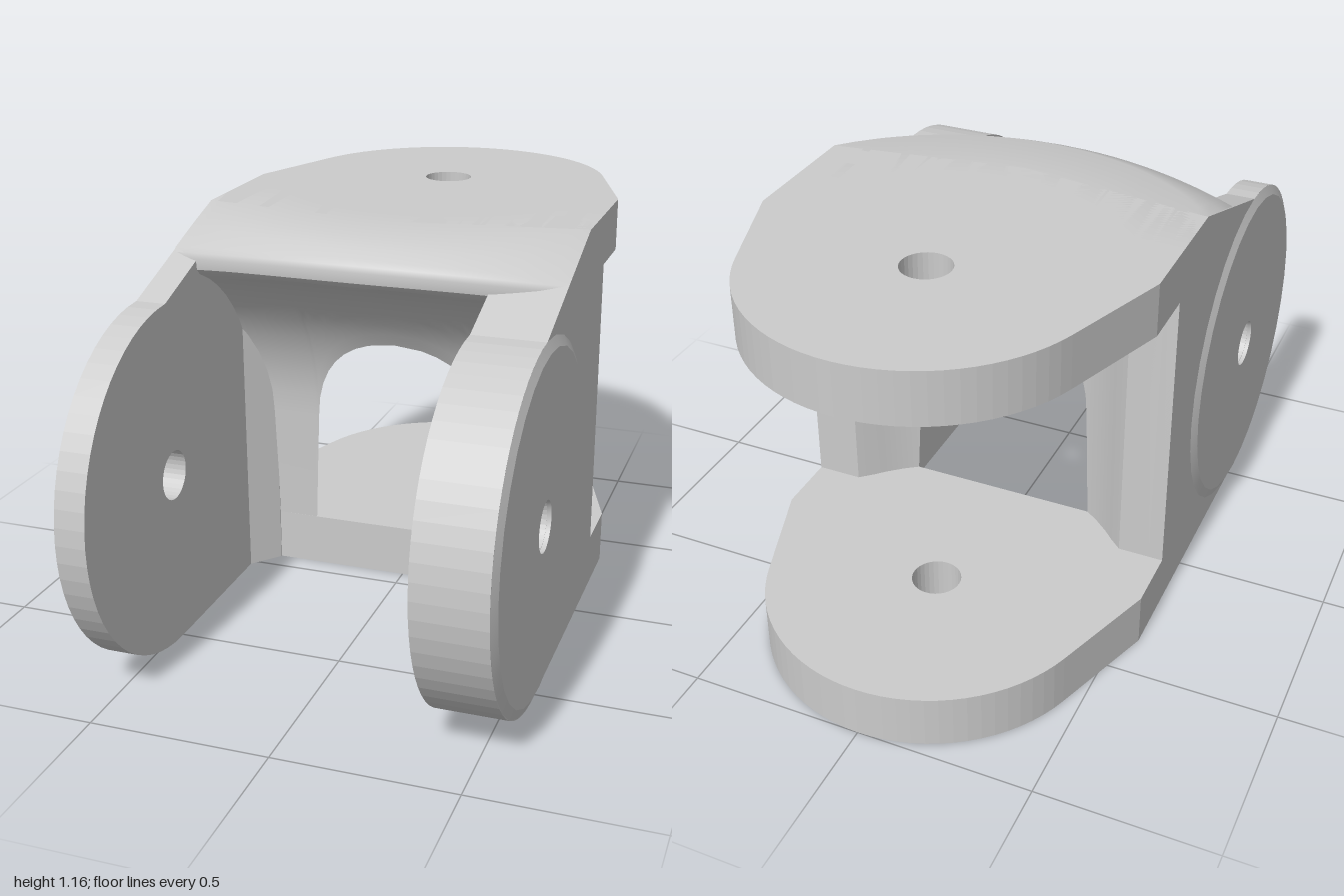
import * as THREE from 'three';
import { toCreasedNormals } from 'three/addons/utils/BufferGeometryUtils.js';

const GREY = new THREE.MeshStandardMaterial({ color: 0xcccccc });
const HOLE = 0.07, TOP = 1.16, SIDE = 0.56;
const LUG = { z: 0.505, y: 0.497, r: 0.495 };      // front pivot
const CLEAR = 0.56, REAR_R = 0.5264, REAR_Z = -0.51; // clearance cylinders

// z of the front clearance surface at height y
const frontZ = (y) => y > 0.5
  ? LUG.z - Math.sqrt(CLEAR ** 2 - (y - 0.5) ** 2)
  : LUG.z - CLEAR - 0.03 * (0.5 - y);
// z of the rear clearance surface at x
const rearZ = (x) => Math.max(-0.19, REAR_Z + Math.sqrt(Math.max(0, REAR_R ** 2 - x * x)));
// half width of the window at height y
const windowX = (y) => Math.sqrt(Math.max(0, REAR_R ** 2 - (frontZ(y) - REAR_Z) ** 2));
// height of the conical slope at the roof front
const coneY = (x, z) => TOP - 0.46 * (Math.hypot(x, z + 0.45) - 0.73);

function add(group, name, geometry) {
  const mesh = new THREE.Mesh(geometry, GREY);
  mesh.name = name;
  group.add(mesh);
  return mesh;
}

function addHole(shape, u, v) {
  const hole = new THREE.Path();
  hole.absarc(u, v, HOLE, 0, Math.PI * 2, true);
  shape.holes.push(hole);
}

// Side wall with round lug, drawn in (-z, y) and extruded along x
function wallGeometry(x0, x1) {
  const s = new THREE.Shape();
  s.moveTo(0.07, 0);
  s.lineTo(0.07, TOP);
  s.lineTo(-0.02, TOP);
  s.lineTo(-LUG.z, LUG.y + LUG.r);
  s.absarc(-LUG.z, LUG.y, LUG.r, Math.PI / 2, Math.PI * 1.5, false);
  addHole(s, -LUG.z, 0.5);
  return new THREE.ExtrudeGeometry(s, { depth: x1 - x0, bevelEnabled: false, curveSegments: 16 })
    .rotateY(Math.PI / 2).translate(x0, 0, 0);
}

// Horizontal rear plate, drawn in (x, -z) and extruded upwards
function plateGeometry(y, thick, frontSide, frontMid) {
  const s = new THREE.Shape();
  const t = -0.33;
  s.moveTo(SIDE, -frontSide);
  s.lineTo(SIDE, 0.37);
  s.absarc(0, 0.52, 0.48, -t, Math.PI + t, false);
  s.lineTo(-SIDE, 0.37);
  s.lineTo(-SIDE, -frontSide);
  s.lineTo(0, -frontMid);
  addHole(s, 0, 0.517);
  return new THREE.ExtrudeGeometry(s, { depth: thick, bevelEnabled: false, curveSegments: 16 })
    .rotateX(-Math.PI / 2).translate(0, y, 0);
}

// Cross-section of web and roof at x, as [z, y] from the rear foot over the top to the front foot
function webSection(x, foot) {
  const zr = rearZ(x);
  const zf = 0.39 - 0.08 * (x / 0.475) ** 2;
  const zc = -0.45 + Math.sqrt(0.73 ** 2 - x * x);
  const under = (z) => 0.5 + Math.sqrt(CLEAR ** 2 - (LUG.z - z) ** 2);
  const pts = [[zr, foot], [zr, TOP], [zc, TOP]];
  for (const k of [0.5, 1]) {
    const z = zc + (zf - 0.02 - zc) * k;
    pts.push([z, coneY(x, z)]);
  }
  // rounded lip
  const a = coneY(x, zf), b = under(zf - 0.02);
  pts.push([zf - 0.006, a - 0.004], [zf, a - 0.02], [zf - 0.004, b + 0.016], [zf - 0.02, b]);
  // concave underside
  const a1 = Math.asin((b - 0.5) / CLEAR);
  const a0 = Math.asin(Math.max(0, foot - 0.5) / CLEAR);
  for (let k = 1; k <= 10; k++) {
    const t = a1 + (a0 - a1) * k / 10;
    pts.push([LUG.z - CLEAR * Math.cos(t), 0.5 + CLEAR * Math.sin(t)]);
  }
  pts.push([frontZ(foot), foot]);
  return pts;
}

// Web and roof lofted across x, its columns following the arched window
function webGeometry() {
  const apex = 0.5 + Math.sqrt(CLEAR ** 2 - (LUG.z - REAR_Z - REAR_R) ** 2);
  const half = [0.56, 0.52, 0.475, 0.45, 0.428, 0.39, 0.365, 0.32].map((x) => [x, 0.15]);
  for (const y of [0.15, 0.3, 0.5, 0.56, 0.61, 0.655, 0.69, 0.72, 0.745, 0.762]) half.push([windowX(y), y]);
  const columns = [
    ...half.map(([x, y]) => [-x, y]),
    [0, apex],
    ...half.slice().reverse(),
  ];
  const position = [], index = [];
  let n = 0;
  columns.forEach(([x, foot], i) => {
    const pts = webSection(x, foot);
    n = pts.length;
    for (const [z, y] of pts) position.push(x, y, z);
    if (i === 0) return;
    for (let j = 0; j < n - 1; j++) {
      const a = (i - 1) * n + j, b = i * n + j;
      index.push(a, a + 1, b + 1, a, b + 1, b);
    }
  });
  const g = new THREE.BufferGeometry();
  g.setAttribute('position', new THREE.Float32BufferAttribute(position, 3));
  g.setIndex(index);
  return toCreasedNormals(g, 0.5);
}

export function createModel() {
  const group = new THREE.Group();
  group.name = 'pivotBracket';

  // Front lugs: the left one is thicker
  add(group, 'leftLug', wallGeometry(0.363, SIDE));
  add(group, 'rightLug', wallGeometry(-SIDE, -0.475));

  // Rear fork plates
  add(group, 'topPlate', plateGeometry(1.01, 0.15, 0.018, 0.1));
  add(group, 'bottomPlate', plateGeometry(0, 0.155, -0.065, -0.065));

  // Web and sloping roof
  add(group, 'webAndRoof', webGeometry());

  for (const side of [1, -1]) {
    const name = side > 0 ? 'left' : 'right';
    // Rear edge of the side wall
    add(group, name + 'RearPost', new THREE.BoxGeometry(0.125, 1, 0.15))
      .position.set(side * (SIDE - 0.0625), 0.6, -0.115);
    // Raised bevelled disc on the outer lug face
    const profile = [[LUG.r, 0], [0.467, 0.012], [HOLE, 0.012], [HOLE, 0]]
      .map(([r, h]) => new THREE.Vector2(r, h));
    const boss = toCreasedNormals(new THREE.LatheGeometry(profile, 32), 0.4);
    boss.rotateZ(-side * Math.PI / 2).translate(side * SIDE, 0.498, LUG.z);
    add(group, name + 'Boss', boss);
  }

  // Chamfer in the corner between web and right lug
  const corner = new THREE.Shape([[-0.5, -0.02], [-0.475, -0.02], [-0.405, 0.062], [-0.405, 0.1], [-0.5, 0.1]]
    .map(([x, v]) => new THREE.Vector2(x, v)));
  add(group, 'cornerChamfer', new THREE.ExtrudeGeometry(corner, { depth: 0.85, bevelEnabled: false })
    .rotateX(-Math.PI / 2));
  return group;
}
